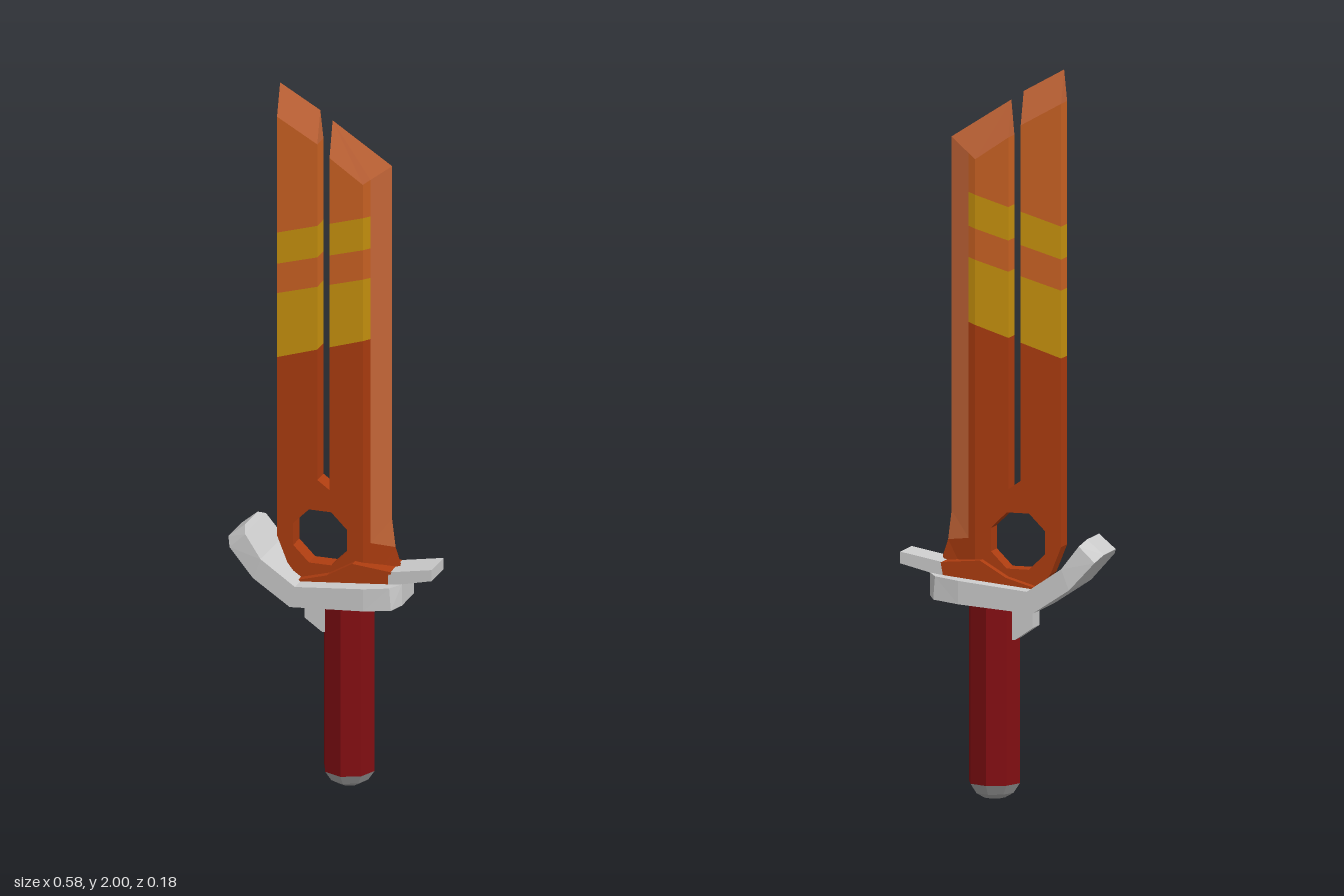
import * as THREE from 'three';

const mat = (name, color) => Object.assign(new THREE.MeshStandardMaterial({ color }), { name });

export function createModel() {
  const rust = mat('rust orange', 0xae3d10);
  const orange = mat('light orange', 0xce6424);
  const edgeMat = mat('edge orange', 0xcc6a3a);
  const gold = mat('gold', 0xcb940e);
  const steel = mat('steel', 0xcccccc);
  const red = mat('dark red', 0x820e12);
  const pommelGrey = mat('pommel grey', 0xa8a8a8);

  const model = new THREE.Group();
  model.name = 'sword';
  const group = (name) => {
    const g = new THREE.Group();
    g.name = name;
    model.add(g);
    return g;
  };
  const add = (parent, name, geometry, material) => {
    const mesh = new THREE.Mesh(geometry, material);
    mesh.name = name;
    parent.add(mesh);
    return mesh;
  };

  // Solid symmetric in z from a counter-clockwise outline of [x, y, half thickness]
  const plate = (pts) => {
    const pos = [];
    const tri = (...corners) => corners.forEach((c) => pos.push(...c));
    const f = ([x, y, h]) => [x, y, h];
    const b = ([x, y, h]) => [x, y, -h];
    for (let i = 1; i < pts.length - 1; i++) {
      tri(f(pts[0]), f(pts[i]), f(pts[i + 1]));
      tri(b(pts[0]), b(pts[i + 1]), b(pts[i]));
    }
    pts.forEach((p, i) => {
      const q = pts[(i + 1) % pts.length];
      if (p[2] > 0) tri(f(p), b(p), b(q));
      if (q[2] > 0) tri(f(p), b(q), f(q));
    });
    const g = new THREE.BufferGeometry();
    g.setAttribute('position', new THREE.Float32BufferAttribute(pos, 3));
    g.computeVertexNormals();
    return g;
  };
  // Slab of constant thickness, with an optional hole
  const slab = (pts, half, hole) => {
    const shape = new THREE.Shape(pts.map(([x, y]) => new THREE.Vector2(x, y)));
    if (hole) shape.holes.push(new THREE.Path(hole));
    return new THREE.ExtrudeGeometry(shape, { depth: half * 2, bevelEnabled: false })
      .translate(0, 0, -half);
  };

  // Blade root with an octagonal hole
  const T = 0.025, S = 0.019;
  const blade = group('blade');
  const hole = [];
  for (let i = 0; i < 8; i++) {
    const a = -(i + 0.5) * Math.PI / 4;
    hole.push(new THREE.Vector2(-0.037 + 0.083 * Math.cos(a), 0.71 + 0.083 * Math.sin(a)));
  }
  add(blade, 'bladeRoot', slab([
    [-0.16, 0.70], [-0.13, 0.625], [-0.09, 0.575], [0.085, 0.59],
    [0.085, 0.85], [-0.01, 0.85], [-0.045, 0.875], [-0.16, 0.875],
  ], T, hole), rust);

  // Two prongs, cut into slanted colour bands
  const cuts = [[1.215, 0.32], [1.40, 0.29], [1.485, 0.29], [1.575, 0.30]];
  const bandMats = [rust, gold, orange, gold, orange];
  const columns = [
    { name: 'rearProng', x: [-0.16, -0.045], h: [T, T], bottom: [0.875, 0.875], top: [1.91, 1.845] },
    { name: 'frontProng', x: [-0.01, 0.085], h: [T, T], bottom: [0.85, 0.85], top: [1.81, 1.745] },
    { name: 'frontProngShoulder', x: [0.085, 0.105], h: [T, S], bottom: [0.59, 0.59], top: [1.745, 1.76] },
  ];
  for (const c of columns) {
    const levels = [c.bottom, ...cuts.map(([y, s]) => c.x.map((x) => y + s * (x + 0.16))), c.top];
    bandMats.forEach((m, i) => {
      const [lo, hi] = [levels[i], levels[i + 1]];
      add(blade, c.name + 'Band' + i, plate([
        [c.x[0], lo[0], c.h[0]], [c.x[1], lo[1], c.h[1]],
        [c.x[1], hi[1], c.h[1]], [c.x[0], hi[0], c.h[0]],
      ]), m);
    });
  }

  // Sharpened tips and cutting edge
  add(blade, 'rearTip', plate([
    [-0.16, 1.91, T], [-0.045, 1.845, T], [-0.045, 1.935, 0], [-0.16, 2.0, 0],
  ]), edgeMat);
  add(blade, 'frontTip', plate([
    [-0.01, 1.91, 0], [-0.01, 1.81, T], [0.085, 1.745, T], [0.105, 1.76, S], [0.16, 1.80, 0],
  ]), edgeMat);
  add(blade, 'cuttingEdge', plate([
    [0.105, 0.78, S], [0.16, 0.78, 0], [0.16, 1.80, 0], [0.105, 1.76, S],
  ]), edgeMat);
  add(blade, 'edgeFlare', plate([
    [0.105, 0.71, S], [0.17, 0.70, 0], [0.16, 0.78, 0], [0.105, 0.78, S],
  ]), edgeMat);
  add(blade, 'edgeHeel', plate([
    [0.105, 0.59, S], [0.175, 0.61, 0], [0.185, 0.655, 0], [0.17, 0.70, 0], [0.105, 0.71, S],
  ]), rust);

  // Collar around the blade root
  add(blade, 'collar', slab([
    [-0.10, 0.57], [0.165, 0.59], [0.175, 0.645], [0.063, 0.655], [-0.01, 0.612], [-0.098, 0.587],
  ], 0.048), rust);

  // Guard: stations of lower point, upper point and half width
  const guard = group('guard');
  const stations = [
    [-0.29, 0.69, -0.242, 0.73, 0.05],
    [-0.275, 0.672, -0.23, 0.715, 0.083],
    [-0.205, 0.595, -0.183, 0.652, 0.092],
    [-0.10, 0.525, -0.085, 0.585, 0.092],
    [0.11, 0.54, 0.11, 0.604, 0.092],
    [0.185, 0.547, 0.18, 0.611, 0.08],
    [0.205, 0.553, 0.205, 0.615, 0.048],
  ];
  for (let i = 0; i < stations.length - 1; i++) {
    const [a, b] = [stations[i], stations[i + 1]];
    add(guard, 'guardSegment' + i, plate([
      [a[0], a[1], a[4]], [b[0], b[1], b[4]], [b[2], b[3], b[4]], [a[2], a[3], a[4]],
    ]), steel);
  }
  add(guard, 'guardSpur', slab([[0.165, 0.605], [0.29, 0.635], [0.29, 0.667], [0.165, 0.644]], 0.048), steel);
  add(guard, 'guardLug', slab([[-0.08, 0.475], [-0.03, 0.44], [0.0, 0.44], [0.0, 0.545], [-0.08, 0.54]], 0.03), steel);

  // Octagonal grip and pommel
  const grip = group('grip');
  const section = (name, top, bottom, y0, y1, m) => {
    const g = new THREE.CylinderGeometry(top, bottom, y1 - y0, 8).toNonIndexed();
    g.computeVertexNormals();
    add(grip, name, g, m).position.set(0.038, (y0 + y1) / 2, 0);
  };
  section('handle', 0.072, 0.072, 0.045, 0.55, red);
  section('pommelRing', 0.072, 0.054, 0.018, 0.045, pommelGrey);
  section('pommelCap', 0.054, 0.03, 0.004, 0.018, pommelGrey);

  return model;
}
